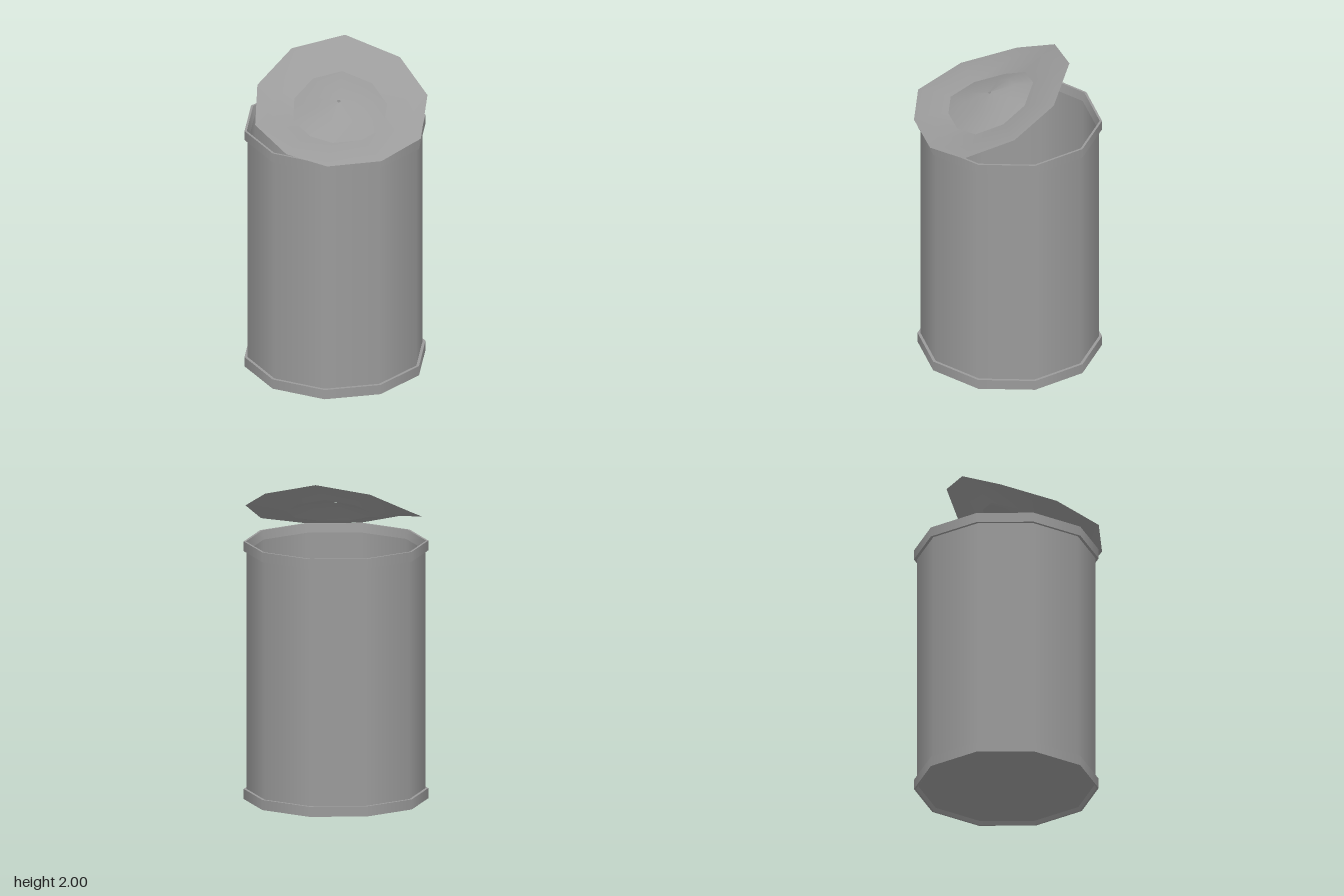
import * as THREE from 'three';
import { mergeGeometries } from 'three/addons/utils/BufferGeometryUtils.js';

const SIDES = 10;
const START = THREE.MathUtils.degToRad(20);
const COLOR = 0x9b9b9b;
const solid = new THREE.MeshStandardMaterial({ color: COLOR });
const sheet = new THREE.MeshStandardMaterial({ color: COLOR, side: THREE.DoubleSide });

// Ten-sided shell, smooth around the axis and sharp between profile segments
function shell(name, profile, material = solid) {
  const bands = [];
  for (let i = 0; i < profile.length - 1; i++) {
    const pair = [profile[i], profile[i + 1]].map(([r, y]) => new THREE.Vector2(r, y));
    bands.push(new THREE.LatheGeometry(pair, SIDES, START));
  }
  const mesh = new THREE.Mesh(mergeGeometries(bands), material);
  mesh.name = name;
  return mesh;
}

// Sheet joining rings of points, with smooth normals
function loft(rings) {
  const geometry = new THREE.BufferGeometry().setFromPoints(rings.flat());
  const index = [];
  for (let k = 0; k < rings.length - 1; k++) {
    for (let i = 0; i < SIDES; i++) {
      const a = k * SIDES + i, b = k * SIDES + (i + 1) % SIDES;
      index.push(a, a + SIDES, b, b, a + SIDES, b + SIDES);
    }
  }
  geometry.setIndex(index);
  geometry.computeVertexNormals();
  return geometry;
}

// Pressed lid: bent outline, sunken groove and a dome in the middle
function lidGeometry() {
  const outline = [
    [-0.13, 2.0, -0.38], [0.22, 1.91, -0.42], [0.48, 1.78, -0.27], [0.58, 1.64, 0.02], [0.45, 1.58, 0.29],
    [0.19, 1.58, 0.50], [-0.05, 1.64, 0.57], [-0.34, 1.70, 0.41], [-0.48, 1.80, 0.10], [-0.39, 1.94, -0.18],
  ].map((p) => new THREE.Vector3(...p));
  const center = new THREE.Vector3(0.05, 1.757, 0.065);
  const ring = (scale, lift) => outline.map((p) => {
    const v = center.clone().lerp(p, scale);
    v.y += lift;
    return v;
  });
  const groove = ring(0.545, -0.025);
  return mergeGeometries([
    loft([outline, ring(0.8, 0), groove]),
    loft([groove, ring(0.3, 0.018), ring(0.02, 0.036)]),
  ]);
}

export function createModel() {
  const model = new THREE.Group();
  model.name = 'openCan';

  const can = new THREE.Group();
  can.name = 'can';
  can.position.set(-0.025, 0, -0.035);
  model.add(can);

  // Outer and inner walls
  can.add(shell('wall', [[0.538, 0.06], [0.538, 1.53]]));
  can.add(shell('innerWall', [[0.53, 1.53], [0.53, 0.02]]));

  // Rims folded over both ends
  can.add(shell('topRim', [[0.538, 1.525], [0.556, 1.525], [0.556, 1.585], [0.542, 1.585], [0.53, 1.53]]));
  can.add(shell('bottomRim', [[0.53, 0.02], [0.545, 0], [0.556, 0], [0.556, 0.062], [0.538, 0.062]]));

  // Pressed base with the same groove and dome
  can.add(shell('base', [[0, 0.062], [0.15, 0.045], [0.29, 0.005], [0.425, 0.025], [0.53, 0.02]], sheet));

  // Cut lid bent upward and resting on the rim
  const lid = new THREE.Mesh(lidGeometry(), sheet);
  lid.name = 'lid';
  model.add(lid);

  return model;
}
